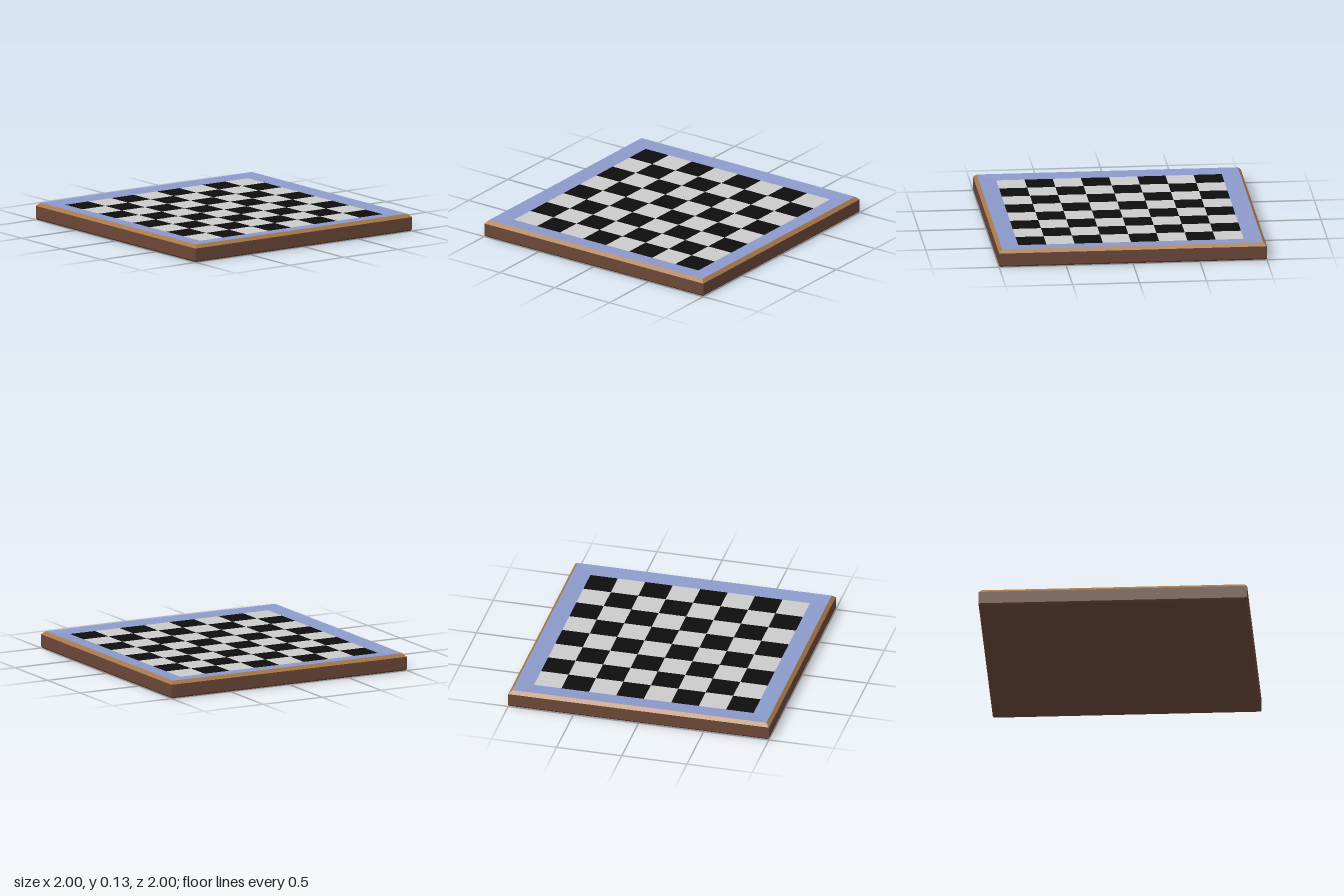
import * as THREE from 'three';
import { mergeGeometries } from 'three/addons/utils/BufferGeometryUtils.js';

const FIELD = 0.842; // half width of the playing field
const FIELD_Y = 0.12;

// Square ring swept through [half width, height] points
function squareRing(name, points, color) {
  const profile = points.map(([h, y]) => new THREE.Vector2(h * Math.SQRT2, y));
  const geometry = new THREE.LatheGeometry(profile, 4, Math.PI / 4).toNonIndexed();
  geometry.computeVertexNormals();
  const mesh = new THREE.Mesh(geometry, new THREE.MeshStandardMaterial({ color, flatShading: true }));
  mesh.name = name;
  return mesh;
}

// All squares of one colour
function squares(name, parity, color) {
  const size = (FIELD * 2) / 8;
  const tiles = [];
  for (let row = 0; row < 8; row++) {
    for (let col = 0; col < 8; col++) {
      if ((row + col) % 2 !== parity) continue;
      const tile = new THREE.PlaneGeometry(size, size);
      tile.rotateX(-Math.PI / 2);
      tile.translate((col - 3.5) * size, FIELD_Y, (row - 3.5) * size);
      tiles.push(tile);
    }
  }
  const mesh = new THREE.Mesh(mergeGeometries(tiles), new THREE.MeshStandardMaterial({ color }));
  mesh.name = name;
  return mesh;
}

export function createModel() {
  const board = new THREE.Group();
  board.name = 'chessBoard';
  board.add(
    // Dark wooden base with a closed underside and a small lower chamfer
    squareRing('base', [[0.99, 0], [1, 0.012], [1, 0.105]], 0x6b4738),
    // Lighter bevelled rim
    squareRing('rim', [[1, 0.105], [0.975, 0.13]], 0xa87848),
    // Border sloping gently down to the field
    squareRing('border', [[0.975, 0.13], [FIELD, FIELD_Y]], 0x8c9acb),
    squares('lightSquares', 0, 0xcccccc),
    squares('darkSquares', 1, 0x0e0e0e)
  );
  const underside = new THREE.Mesh(
    new THREE.PlaneGeometry(1.98, 1.98).rotateX(Math.PI / 2),
    new THREE.MeshStandardMaterial({ color: 0x6b4738 })
  );
  underside.name = 'underside';
  board.add(underside);
  return board;
}
